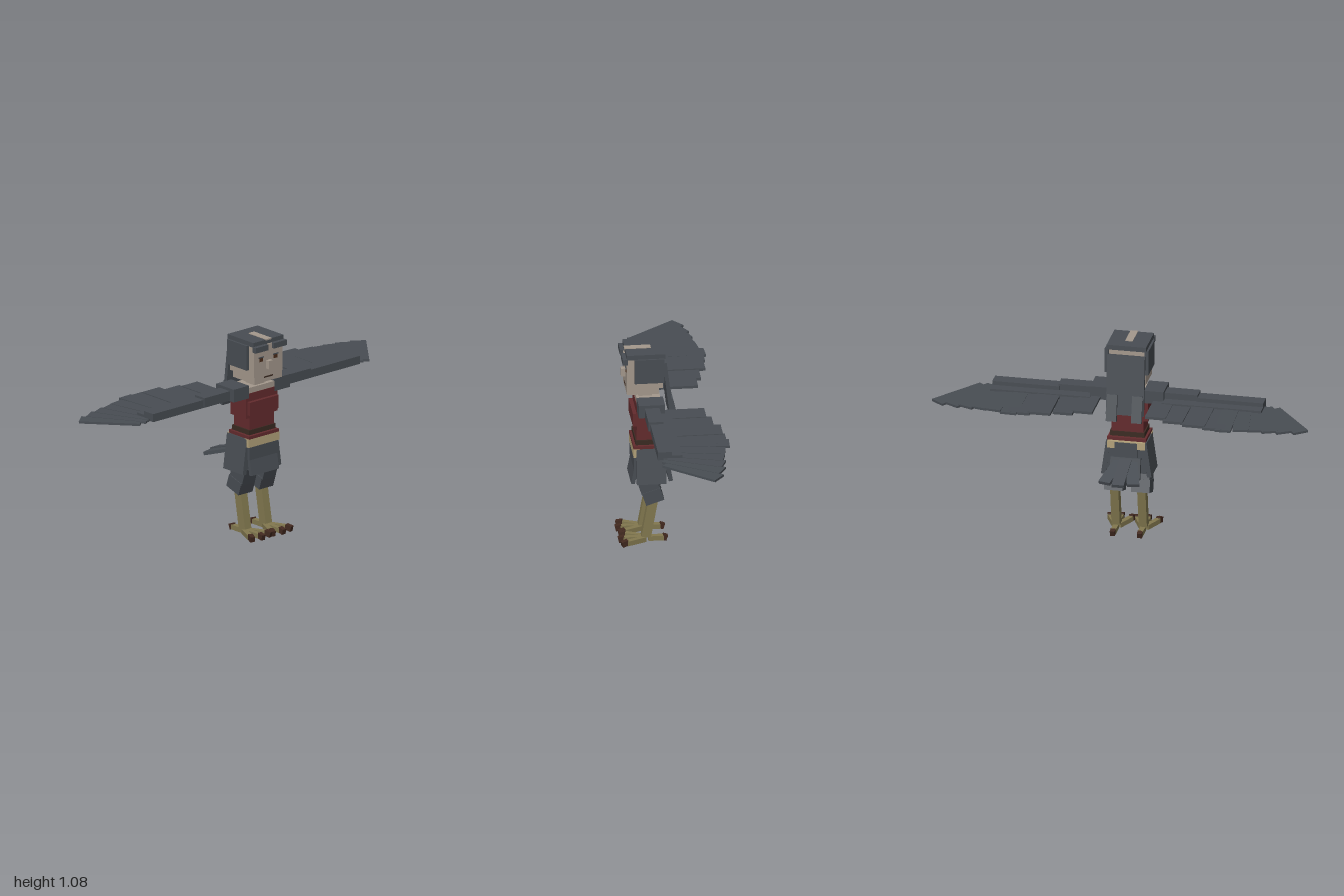
import * as THREE from 'three';

const mat = (name, color) => {
  const m = new THREE.MeshStandardMaterial({ color });
  m.name = name;
  return m;
};

export function createModel() {
  const model = new THREE.Group();
  model.name = 'wingedFigure';
  const slate = mat('slate feathers', 0x484d53);
  const skin = mat('skin', 0xa4988c);
  const red = mat('red cloth', 0x632b2d);
  const cream = mat('cream sash', 0xb3a27a);
  const tan = mat('tan legs', 0x82784f);
  const belt = mat('dark brown leather', 0x3a2a22);
  const claw = mat('claw brown', 0x42291f);
  const eyeBrown = mat('eye brown', 0x4a2c1a);

  const group = (name, parent = model) => {
    const g = new THREE.Group();
    g.name = name;
    parent.add(g);
    return g;
  };
  // box given by its limits on each axis
  const box = (parent, name, m, [x0, x1], [y0, y1], [z0, z1]) => {
    const b = new THREE.Mesh(new THREE.BoxGeometry(x1 - x0, y1 - y0, z1 - z0), m);
    b.position.set((x0 + x1) / 2, (y0 + y1) / 2, (z0 + z1) / 2);
    b.name = name;
    parent.add(b);
    return b;
  };
  // box of w x thickness t running between two points
  const bar = (parent, name, m, a, b, w, t) => {
    const from = new THREE.Vector3(...a), to = new THREE.Vector3(...b);
    const mesh = new THREE.Mesh(new THREE.BoxGeometry(w, t, from.distanceTo(to)), m);
    mesh.position.copy(from).lerp(to, 0.5);
    mesh.lookAt(to);
    mesh.name = name;
    parent.add(mesh);
    return mesh;
  };

  // head
  const head = group('head');
  box(head, 'face', skin, [-0.1, 0.1], [0.89, 1.06], [0.025, 0.213]);
  box(head, 'jaw', skin, [-0.095, 0.095], [0.855, 0.89], [0.045, 0.213]);
  box(head, 'nose', skin, [-0.014, 0.014], [0.925, 0.97], [0.21, 0.235]);
  box(head, 'neck', skin, [-0.035, 0.035], [0.81, 0.86], [0.075, 0.145]);
  box(head, 'mouth', belt, [-0.03, 0.03], [0.877, 0.884], [0.212, 0.216]);
  box(head, 'hairCap', slate, [-0.105, 0.105], [1.058, 1.084], [0.012, 0.215]);
  box(head, 'crownStripe', skin, [-0.02, 0.02], [1.08, 1.087], [0.08, 0.218]);
  box(head, 'fringeStripe', skin, [-0.02, 0.02], [1.032, 1.06], [0.21, 0.222]);
  for (const s of [-1, 1]) {
    const side = group(s > 0 ? 'leftHeadSide' : 'rightHeadSide', head);
    side.scale.x = s;
    box(side, 'fringe', slate, [0.02, 0.108], [1.032, 1.062], [0.21, 0.237]);
    box(side, 'sideHair', slate, [0.095, 0.116], [0.925, 1.06], [0.02, 0.175]);
    box(side, 'eye', eyeBrown, [0.038, 0.062], [0.97, 0.99], [0.211, 0.216]);
    box(side, 'eyebrow', slate, [0.032, 0.068], [0.99, 0.996], [0.211, 0.217]);
    bar(side, 'hairLock', slate, [0.067, 0.82, -0.018], [0.067, 0.68, -0.05], 0.055, 0.02);
  }
  bar(head, 'backHair', slate, [0, 1.03, 0.016], [0, 0.71, -0.022], 0.2, 0.02);

  // torso
  const torso = group('torso');
  box(torso, 'collar', skin, [-0.1, 0.1], [0.78, 0.82], [0.035, 0.16]);
  box(torso, 'upperTunic', red, [-0.11, 0.11], [0.655, 0.79], [0.04, 0.163]);
  box(torso, 'chest', red, [-0.1, 0.1], [0.675, 0.747], [0.13, 0.183]);
  box(torso, 'lowerTunic', red, [-0.085, 0.085], [0.58, 0.66], [0.04, 0.163]);
  box(torso, 'belt', belt, [-0.092, 0.092], [0.564, 0.59], [0.034, 0.168]);
  box(torso, 'tunicHem', red, [-0.103, 0.103], [0.545, 0.562], [0.02, 0.18]);
  box(torso, 'frontSash', cream, [-0.107, 0.107], [0.5, 0.545], [0.148, 0.18]);
  box(torso, 'backSash', cream, [-0.1, 0.1], [0.505, 0.545], [0.005, 0.024]);

  // feathered shorts and flaps
  const hips = group('hips');
  box(hips, 'hipBlock', slate, [-0.105, 0.105], [0.37, 0.54], [0.012, 0.163]);
  box(hips, 'frontPanel', slate, [-0.1, 0.1], [0.43, 0.5], [0.15, 0.178]);
  box(hips, 'backPanel', slate, [-0.06, 0.06], [0.46, 0.54], [0, 0.02]);
  bar(hips, 'frontFlap', slate, [0, 0.43, 0.166], [0, 0.345, 0.182], 0.19, 0.02);
  bar(hips, 'backFlap', slate, [0, 0.46, 0.002], [0, 0.345, -0.018], 0.16, 0.022);
  for (const s of [-1, 1]) {
    const flap = box(hips, 'sideFlap', slate, [-0.012, 0.012], [-0.095, 0.095], [-0.077, 0.077]);
    flap.position.set(s * 0.109, 0.447, 0.088);
    flap.rotation.z = s * 0.14;
  }

  // tail fan
  const tail = group('tail');
  for (const k of [-1, 0, 1]) {
    bar(tail, 'tailFeather', slate, [k * 0.025, 0.45 - Math.abs(k) * 0.006, 0.01],
      [k * 0.077, 0.382, k ? -0.18 : -0.205], 0.065, 0.018);
  }

  // legs, built on the left and mirrored
  for (const s of [-1, 1]) {
    const leg = group(s > 0 ? 'leftLeg' : 'rightLeg');
    leg.scale.x = s;
    bar(leg, 'thigh', slate, [0.072, 0.39, 0.118], [0.072, 0.3, 0.09], 0.09, 0.1);
    bar(leg, 'knee', slate, [0.072, 0.31, 0.09], [0.072, 0.243, 0.068], 0.098, 0.1);
    bar(leg, 'shin', tan, [0.072, 0.25, 0.075], [0.072, 0.035, 0.113], 0.044, 0.05);
    // three front toes and one back toe
    for (const k of [-1, 0, 1]) {
      const x = 0.072 + k * 0.012, dx = k * 0.045, dz = k ? 0 : 0.012;
      bar(leg, 'frontToe', tan, [x, 0.023, 0.118], [x + dx, 0.023, 0.218 + dz], 0.026, 0.026);
      bar(leg, 'frontClaw', claw, [x + dx * 0.93, 0.028, 0.212 + dz],
        [x + dx * 1.15, 0.02, 0.245 + dz], 0.025, 0.03);
    }
    bar(leg, 'backToe', tan, [0.072, 0.023, 0.1], [0.072, 0.023, 0.02], 0.028, 0.026);
    bar(leg, 'backClaw', claw, [0.072, 0.028, 0.026], [0.072, 0.02, 0.002], 0.026, 0.03);
  }

  // wings, built on the left and mirrored
  for (const s of [-1, 1]) {
    const wing = group(s > 0 ? 'leftWing' : 'rightWing');
    wing.scale.x = s;
    box(wing, 'shoulder', slate, [0.09, 0.195], [0.765, 0.835], [0.025, 0.163]);
    box(wing, 'upperArm', slate, [0.19, 0.37], [0.768, 0.82], [0.055, 0.132]);
    box(wing, 'forearm', slate, [0.365, 0.72], [0.764, 0.808], [0.05, 0.122]);
    box(wing, 'covert', slate, [0.19, 0.72], [0.765, 0.787], [-0.005, 0.06]);
    // straight feathers: inner edge, outer edge, back end
    [[0.14, 0.25, -0.185], [0.24, 0.345, -0.212], [0.35, 0.47, -0.247], [0.46, 0.58, -0.257]]
      .forEach(([x0, x1, z], i) => {
        const y = 0.768 - (i % 2) * 0.004;
        box(wing, 'armFeather', slate, [x0, x1], [y, y + 0.014], [z, 0.06]);
      });
    // fanned feathers: base x, base z, tip x, tip z
    [[0.555, 0.05, 0.57, -0.268], [0.615, 0.06, 0.66, -0.237], [0.66, 0.07, 0.735, -0.222],
      [0.69, 0.08, 0.81, -0.212], [0.72, 0.085, 0.885, -0.197], [0.765, 0.08, 0.967, -0.172]]
      .forEach(([bx, bz, tx, tz], i) => {
        const y = 0.775 - i * 0.0025;
        bar(wing, 'handFeather', slate, [bx, y, bz], [tx, y - 0.004, tz], 0.085, 0.012);
      });
  }
  return model;
}
